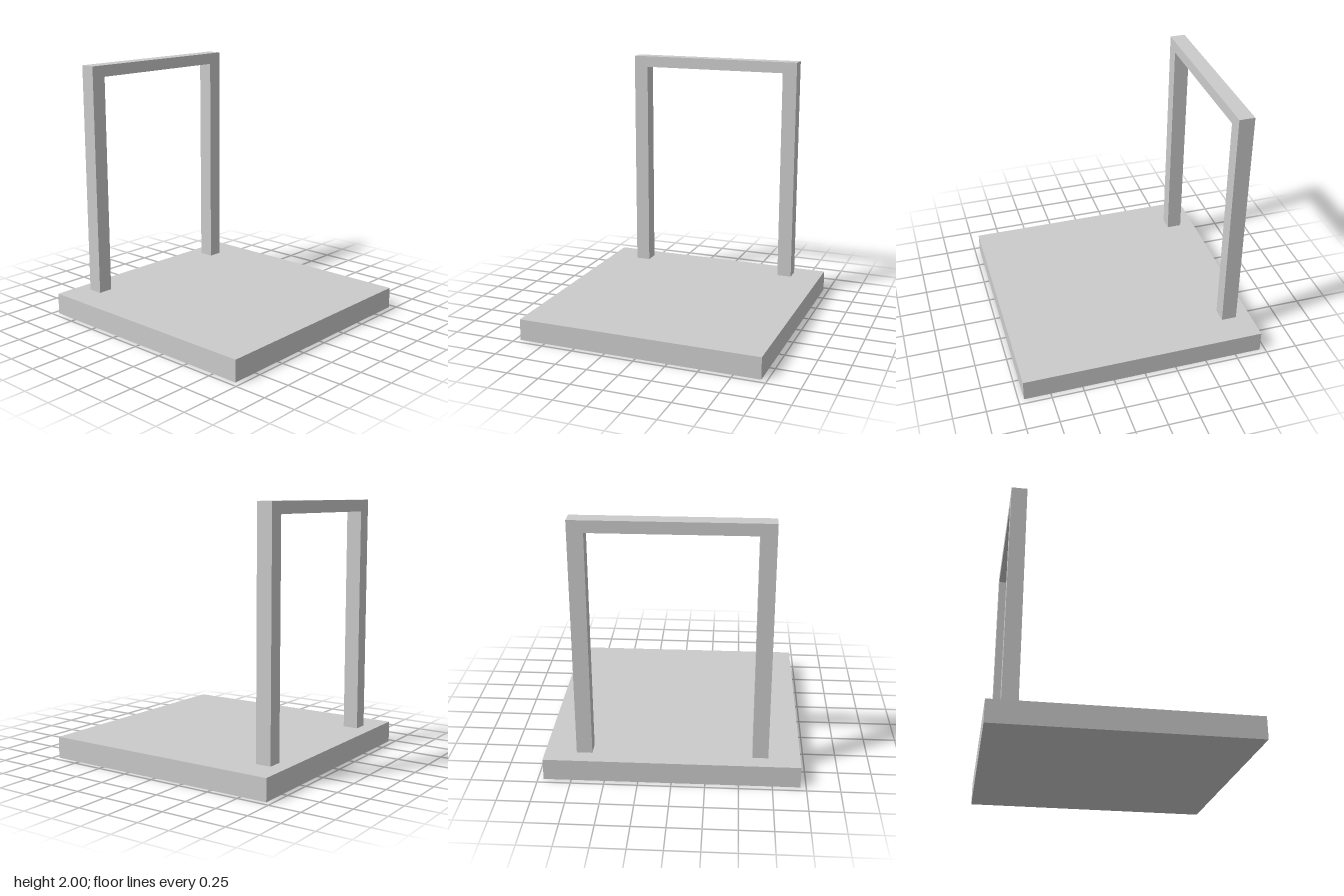
import * as THREE from 'three';

const BASE = { size: 1.914, height: 0.168 };
const FRAME = { outer: 0.718, inner: 0.6, top: 2, underside: 1.91, back: -0.84, depth: 0.12 };

export function createModel() {
  const group = new THREE.Group();
  const material = new THREE.MeshStandardMaterial({ color: 0xcccccc, flatShading: true });

  // Square slab standing on the ground
  const base = new THREE.Mesh(new THREE.BoxGeometry(BASE.size, BASE.height, BASE.size), material);
  base.name = 'base';
  base.position.y = BASE.height / 2;
  group.add(base);

  // Two posts and a crossbar as one upside-down U, near the back edge
  const { outer, inner, top, underside, back, depth } = FRAME;
  const foot = BASE.height;
  const outline = new THREE.Shape([
    [-outer, foot], [-inner, foot], [-inner, underside], [inner, underside],
    [inner, foot], [outer, foot], [outer, top], [-outer, top],
  ].map(([x, y]) => new THREE.Vector2(x, y)));
  const frame = new THREE.Mesh(
    new THREE.ExtrudeGeometry(outline, { depth, bevelEnabled: false }), material);
  frame.name = 'uprightFrame';
  frame.position.z = back;
  group.add(frame);

  return group;
}
